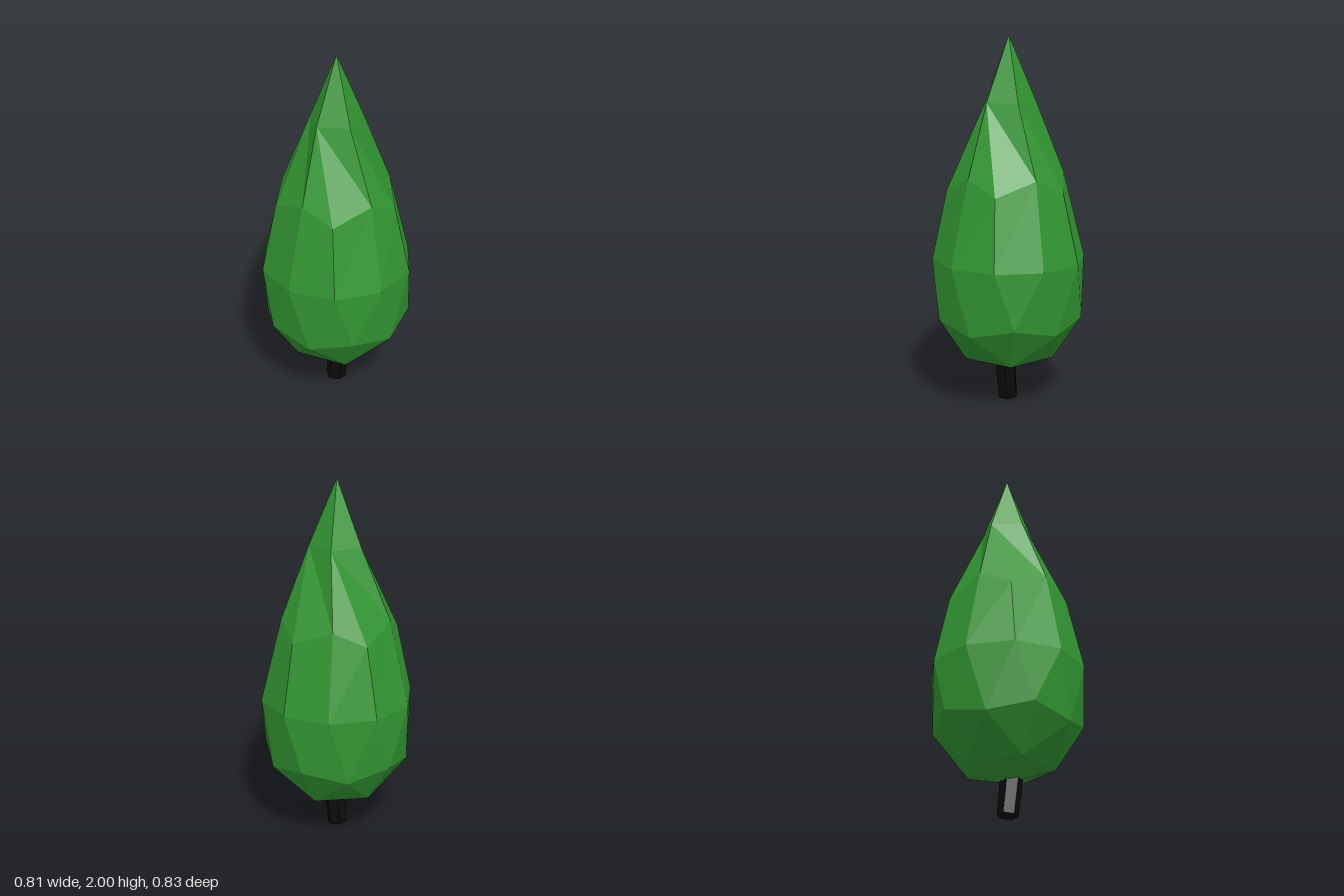
import * as THREE from 'three';

const leafGreen = new THREE.MeshStandardMaterial({ color: 0x329632 });
leafGreen.name = 'leafGreen';
const barkBlack = new THREE.MeshStandardMaterial({ color: 0x0c0b0b });
barkBlack.name = 'barkBlack';

// Point at a bearing (degrees from +x towards +z)
function polar(radius, y, degrees) {
  const a = THREE.MathUtils.degToRad(degrees);
  return [radius * Math.cos(a), y, radius * Math.sin(a)];
}

// Evenly spaced ring; returns a lookup that wraps round
function ring(count, radius, y, start) {
  return (k) => polar(radius, y, start + (360 / count) * k);
}

// Faceted, twisted crown: a once-divided icosahedron drawn out to a point
function crownGeometry() {
  const tip = [0, 2, 0], base = [0, 0.18, 0];
  const neck = ring(5, 0.147, 1.65, 91);
  const shoulderHigh = ring(5, 0.304, 1.26, 83);
  const shoulderLow = ring(5, 0.333, 1.18, 51);
  const waist = ring(10, 0.418, 0.8, 49);
  const hipHigh = ring(5, 0.405, 0.49, 34.5);
  const hipLow = ring(5, 0.39, 0.44, 70.5);
  const foot = ring(5, 0.25, 0.25, 36);

  const positions = [];
  const face = (...corners) => corners.forEach((p) => positions.push(...p));
  for (let k = 0; k < 5; k++) {
    const n = k + 1, e = 2 * k;
    // Pointed top
    face(tip, neck(n), neck(k));
    face(neck(k), neck(n), shoulderHigh(k));
    face(neck(k), shoulderHigh(k), shoulderLow(k));
    face(neck(n), shoulderLow(n), shoulderHigh(k));
    // Shoulders to waist
    face(shoulderLow(k), shoulderHigh(k), waist(e + 1));
    face(shoulderLow(k), waist(e + 1), waist(e));
    face(shoulderHigh(k), waist(e + 2), waist(e + 1));
    face(shoulderHigh(k), shoulderLow(n), waist(e + 2));
    // Waist to hips
    face(waist(e - 1), waist(e), hipHigh(k));
    face(waist(e), waist(e + 1), hipLow(k));
    face(waist(e), hipLow(k), hipHigh(k));
    face(waist(e + 1), hipHigh(n), hipLow(k));
    // Underside
    face(hipLow(k - 1), hipHigh(k), foot(k));
    face(hipHigh(k), hipLow(k), foot(k));
    face(hipLow(k), foot(n), foot(k));
    face(foot(k), foot(n), base);
  }
  const geometry = new THREE.BufferGeometry();
  geometry.setAttribute('position', new THREE.Float32BufferAttribute(positions, 3));
  geometry.computeVertexNormals();
  return geometry;
}

// Six-sided trunk, leaning slightly as it rises
function trunkGeometry() {
  const height = 0.21;
  const shaped = new THREE.CylinderGeometry(0.06, 0.056, height, 6);
  shaped.translate(0, height / 2, 0);
  const p = shaped.attributes.position;
  for (let i = 0; i < p.count; i++) {
    const x = p.getX(i), y = p.getY(i), z = p.getZ(i);
    const lift = y < 0.01 ? 0.007 - 0.1 * x + 0.02 * z : 0;
    p.setXYZ(i, x + 0.12 * y, y + lift, z + 0.005);
  }
  const geometry = shaped.toNonIndexed();
  geometry.computeVertexNormals();
  return geometry;
}

export function createModel() {
  const tree = new THREE.Group();
  tree.name = 'tree';
  const crown = new THREE.Mesh(crownGeometry(), leafGreen);
  crown.name = 'crown';
  const trunk = new THREE.Mesh(trunkGeometry(), barkBlack);
  trunk.name = 'trunk';
  tree.add(crown, trunk);
  return tree;
}
